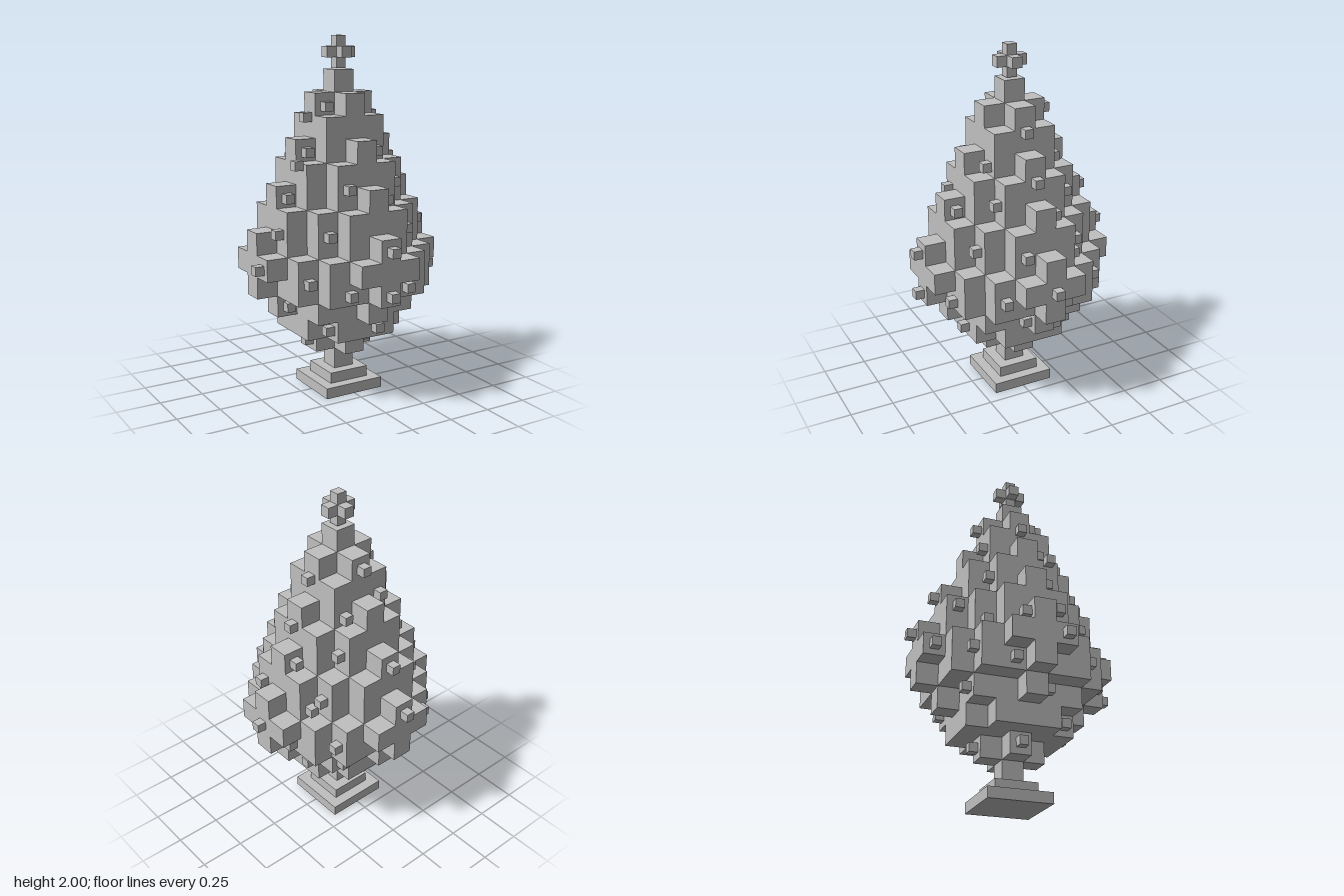
import * as THREE from 'three';
import { mergeGeometries } from 'three/addons/utils/BufferGeometryUtils.js';

const CELL = 0.12, FOOT = 0.243, LAYER = 0.1212;

// Foliage layers from the bottom: widest reach in cells, largest |x|+|z|
const LAYERS = [
  [1, 1], [2, 3], [3, 4], [4, 5], [4, 5], [4, 4], [3, 4],
  [3, 3], [2, 3], [2, 2], [1, 2], [1, 1], [0, 0],
];

function filled(x, z, l) {
  const a = Math.abs(x), b = Math.abs(z), [reach, sum] = LAYERS[l];
  if (a > reach || b > reach || a + b > sum) return false;
  // the lower layers are round discs
  if (l === 2 || l === 3) return a * a + b * b <= reach * reach;
  return true;
}

function box(w, h, d, x, y, z) {
  return new THREE.BoxGeometry(w, h, d).translate(x, y, z);
}

// Small cubes on the sides: [position along the face, height]
const BAUBLES = {
  front: [[-0.12, 1.625], [-0.24, 1.385], [0.12, 1.385], [-0.12, 1.205], [0.24, 1.205],
    [-0.36, 1.145], [-0.24, 0.965], [0.24, 0.965], [0, 0.905], [-0.36, 0.725],
    [-0.18, 0.665], [0, 0.665], [0.18, 0.665], [-0.36, 0.545], [0.36, 0.545],
    [0.06, 0.425], [0.12, 0.305]],
  back: [[0, 1.63], [-0.12, 1.445], [0.12, 1.385], [-0.24, 1.205], [0, 1.145],
    [0.36, 1.145], [0.36, 0.905], [-0.48, 0.905], [0, 0.905], [-0.36, 0.725],
    [0.24, 0.545], [-0.24, 0.545], [0, 0.305]],
  left: [[0, 1.565], [0, 1.325], [-0.24, 1.205], [0.36, 1.145], [0.12, 0.965],
    [-0.24, 0.965], [0, 0.785], [0.24, 0.725], [-0.36, 0.725], [-0.12, 0.665],
    [-0.12, 0.475]],
  right: [[0, 1.565], [0.12, 1.325], [-0.36, 1.025], [0.12, 0.965], [-0.24, 0.905],
    [0.12, 0.785], [-0.48, 0.785], [-0.12, 0.665], [0.24, 0.425], [0, 0.305]],
};

export function createModel() {
  const tree = new THREE.Group();
  tree.name = 'blockTree';
  const grey = new THREE.MeshStandardMaterial({ color: 0xc0c0c0 });
  grey.name = 'grey';
  const add = (name, parts) => {
    const mesh = new THREE.Mesh(mergeGeometries(parts), grey);
    mesh.name = name;
    tree.add(mesh);
  };

  // Stepped base and trunk
  add('base', [box(0.36, 0.061, 0.36, 0, 0.0305, 0), box(0.24, 0.061, 0.24, 0, 0.0915, 0)]);
  add('trunk', [box(0.12, 0.122, 0.12, 0, 0.183, 0)]);

  // Foliage: one upright block per cell column
  const columns = [];
  for (let x = -4; x <= 4; x++) {
    for (let z = -4; z <= 4; z++) {
      const run = LAYERS.map((_, l) => l).filter((l) => filled(x, z, l));
      if (!run.length) continue;
      const low = FOOT + run[0] * LAYER;
      const high = FOOT + (run[run.length - 1] + 1) * LAYER;
      columns.push(box(CELL, high - low, CELL, x * CELL, (low + high) / 2, z * CELL));
    }
  }
  add('foliage', columns);

  // Baubles sit on the outermost block at their height
  const size = 0.051;
  for (const [side, spots] of Object.entries(BAUBLES)) {
    const alongX = side === 'front' || side === 'back';
    const sign = side === 'front' || side === 'left' ? 1 : -1;
    const parts = spots.map(([u, y]) => {
      const l = Math.floor((y - FOOT) / LAYER);
      const c = Math.round(Math.abs(u) / CELL - 0.01);
      let r = 4;
      while (r > 0 && !filled(c, r, l)) r--;
      const out = sign * ((r + 0.5) * CELL + size / 2);
      return alongX ? box(size, size, size, u, y, out) : box(size, size, size, out, y, u);
    });
    add(side + 'Baubles', parts);
  }

  // Topper: a cube with a cube on each of its six faces
  const t = 0.059, cy = 1.9115;
  const topper = [box(t, t, t, 0, cy, 0)];
  for (const s of [-t, t]) {
    topper.push(box(t, t, t, s, cy, 0), box(t, t, t, 0, cy + s, 0), box(t, t, t, 0, cy, s));
  }
  add('topper', topper);

  return tree;
}
